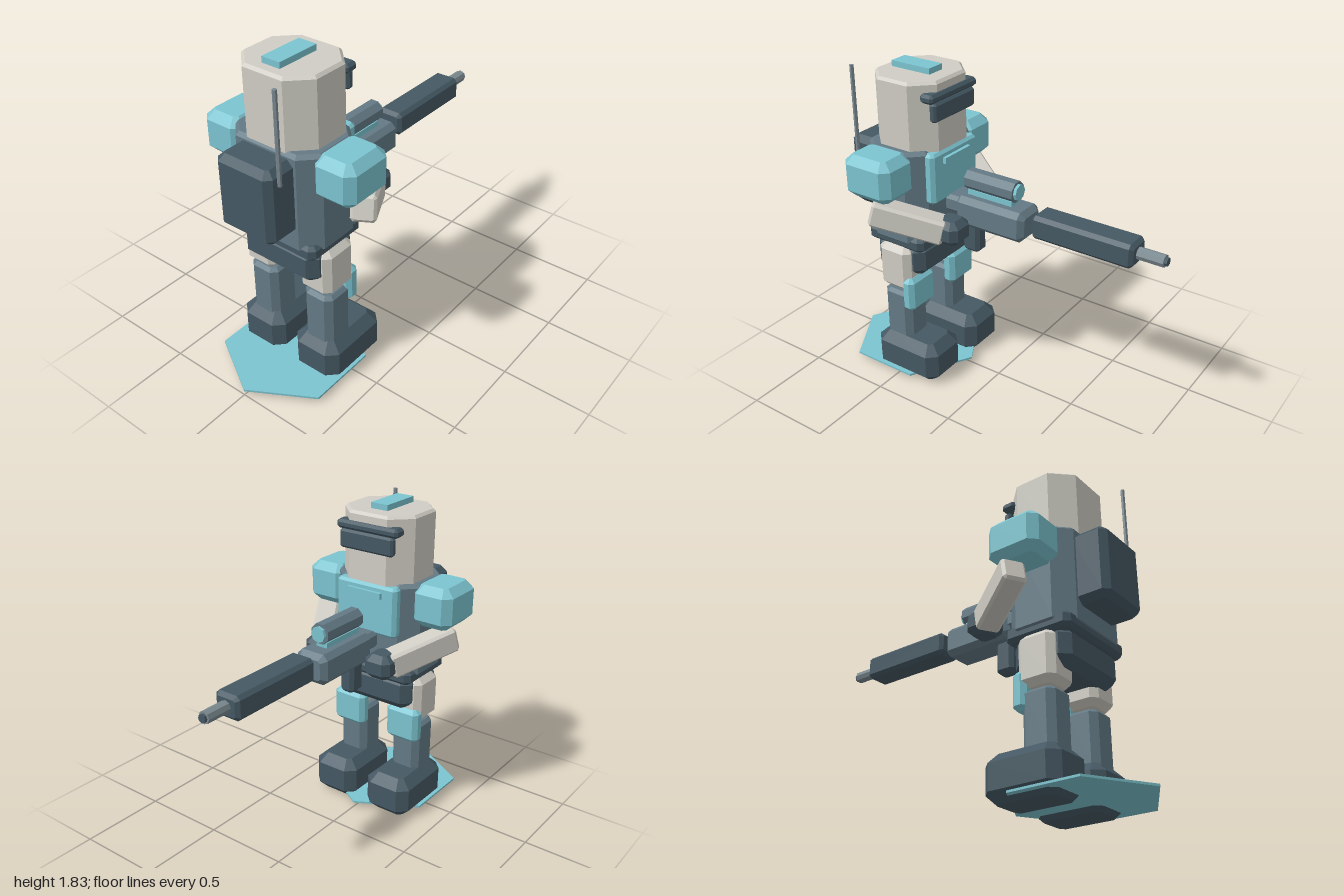
import * as THREE from 'three';

const flat = (name, color) => {
  const m = new THREE.MeshStandardMaterial({ color });
  m.name = name;
  m.flatShading = true;
  return m;
};

// Octagonal block: corners cut by k around its long axis, both ends bevelled by b
function block(w, h, d, k, b = k, axis = 'y') {
  const [X, Y, L] = axis === 'y' ? [w / 2, d / 2, h] : [w / 2, h / 2, d];
  const s = new THREE.Shape([
    [X - k, -Y], [X, -Y + k], [X, Y - k], [X - k, Y],
    [-X + k, Y], [-X, Y - k], [-X, -Y + k], [-X + k, -Y],
  ].map(p => new THREE.Vector2(...p)));
  const g = new THREE.ExtrudeGeometry(s, {
    depth: L - 2 * b, bevelEnabled: true, bevelSegments: 1,
    bevelThickness: b, bevelSize: b, bevelOffset: -b,
  });
  g.translate(0, 0, b - L / 2);
  if (axis === 'y') g.rotateX(-Math.PI / 2);
  return g;
}

// Cylinder lying along z
const rod = (r, len, sides) => new THREE.CylinderGeometry(r, r, len, sides).rotateX(Math.PI / 2);

export function createModel() {
  const root = new THREE.Group();
  root.name = 'armouredTrooper';

  const cream = flat('cream armour', 0xcfcdc4);
  const cyan = flat('cyan trim', 0x7cc4d0);
  const slate = flat('slate plating', 0x647a85);
  const dark = flat('dark plating', 0x455863);
  const steel = flat('steel', 0x7b8a91);

  const add = (name, geo, mat, x, y, z) => {
    const m = new THREE.Mesh(geo, mat);
    m.name = name;
    m.position.set(x, y, z);
    root.add(m);
    return m;
  };

  // Base plate
  add('basePlate', new THREE.CylinderGeometry(0.4, 0.4, 0.012, 6), cyan, 0, 0.031, 0.6);

  // Torso
  add('torso', block(0.56, 0.555, 0.4, 0.09, 0.02), slate, 0, 1.1425, 0.53);
  add('belt', block(0.54, 0.085, 0.39, 0.03, 0.02), dark, 0, 0.872, 0.53);
  add('pelvis', block(0.5, 0.215, 0.34, 0.05), dark, 0, 0.7525, 0.53);
  add('chestPlate', block(0.4, 0.29, 0.07, 0.02, 0.015), cyan, 0, 1.265, 0.32);
  add('chestBar', new THREE.BoxGeometry(0.22, 0.035, 0.03), cyan, 0, 1.358, 0.28);
  add('backpack', block(0.35, 0.415, 0.22, 0.035), dark, 0, 1.1825, 0.79);
  add('antenna', new THREE.CylinderGeometry(0.012, 0.012, 0.495, 6), steel, 0.183, 1.5575, 0.83);

  // Head
  add('head', block(0.465, 0.4, 0.42, 0.11, 0.015), cream, 0, 1.595, 0.51);
  add('crest', new THREE.BoxGeometry(0.11, 0.035, 0.255), cyan, 0, 1.81, 0.53);
  add('brow', block(0.4, 0.05, 0.085, 0.015), dark, 0, 1.715, 0.32);
  add('visor', block(0.35, 0.105, 0.045, 0.012), dark, 0, 1.638, 0.298);

  // Limbs, mirrored
  for (const s of [1, -1]) {
    const side = s > 0 ? 'left' : 'right';
    add(side + 'Foot', block(0.295, 0.25, 0.44, 0.055), dark, s * 0.19, 0.125, 0.45);
    add(side + 'Shin', block(0.185, 0.32, 0.19, 0.035, 0.02), slate, s * 0.19, 0.38, 0.53);
    add(side + 'Thigh', block(0.205, 0.285, 0.22, 0.035), cream, s * 0.19, 0.6975, 0.53);
    add(side + 'KneePad', block(0.215, 0.21, 0.085, 0.025), cyan, s * 0.19, 0.545, 0.435);
    add(side + 'Shoulder', block(0.25, 0.24, 0.31, 0.045), cyan, s * 0.355, 1.307, 0.53);
    const arm = add(side + 'Arm', block(0.13, 0.14, 0.41, 0.015, 0.015, 'z'), cream, s * 0.33, 1.07, 0.36);
    arm.lookAt(s * 0.13, 0.96, 0.02);
    add(side + 'Hand', block(0.165, 0.14, 0.165, 0.035), dark, s * 0.207, 1.02, 0.168);
  }

  // Rifle
  add('receiver', block(0.2, 0.175, 0.44, 0.03, 0.03, 'z'), slate, 0, 1.0725, 0.01);
  add('stock', block(0.16, 0.1, 0.12, 0.02, 0.015, 'z'), slate, 0, 1.09, 0.25);
  add('grip', block(0.09, 0.19, 0.11, 0.02), dark, 0, 0.9, 0.165);
  add('scopeMount', new THREE.BoxGeometry(0.07, 0.04, 0.285), cyan, 0, 1.17, 0.038);
  add('scope', rod(0.06, 0.31, 8).rotateZ(Math.PI / 8), slate, 0, 1.24, 0.035);
  add('scopeLens', rod(0.045, 0.02, 8), cyan, 0, 1.24, -0.127);
  add('barrelShroud', block(0.155, 0.135, 0.59, 0.02, 0.02, 'z'), dark, 0, 1.1025, -0.545);
  add('muzzle', rod(0.034, 0.16, 8), steel, 0, 1.105, -0.905);
  add('muzzleTip', rod(0.023, 0.04, 8), dark, 0, 1.105, -0.98);

  return root;
}
